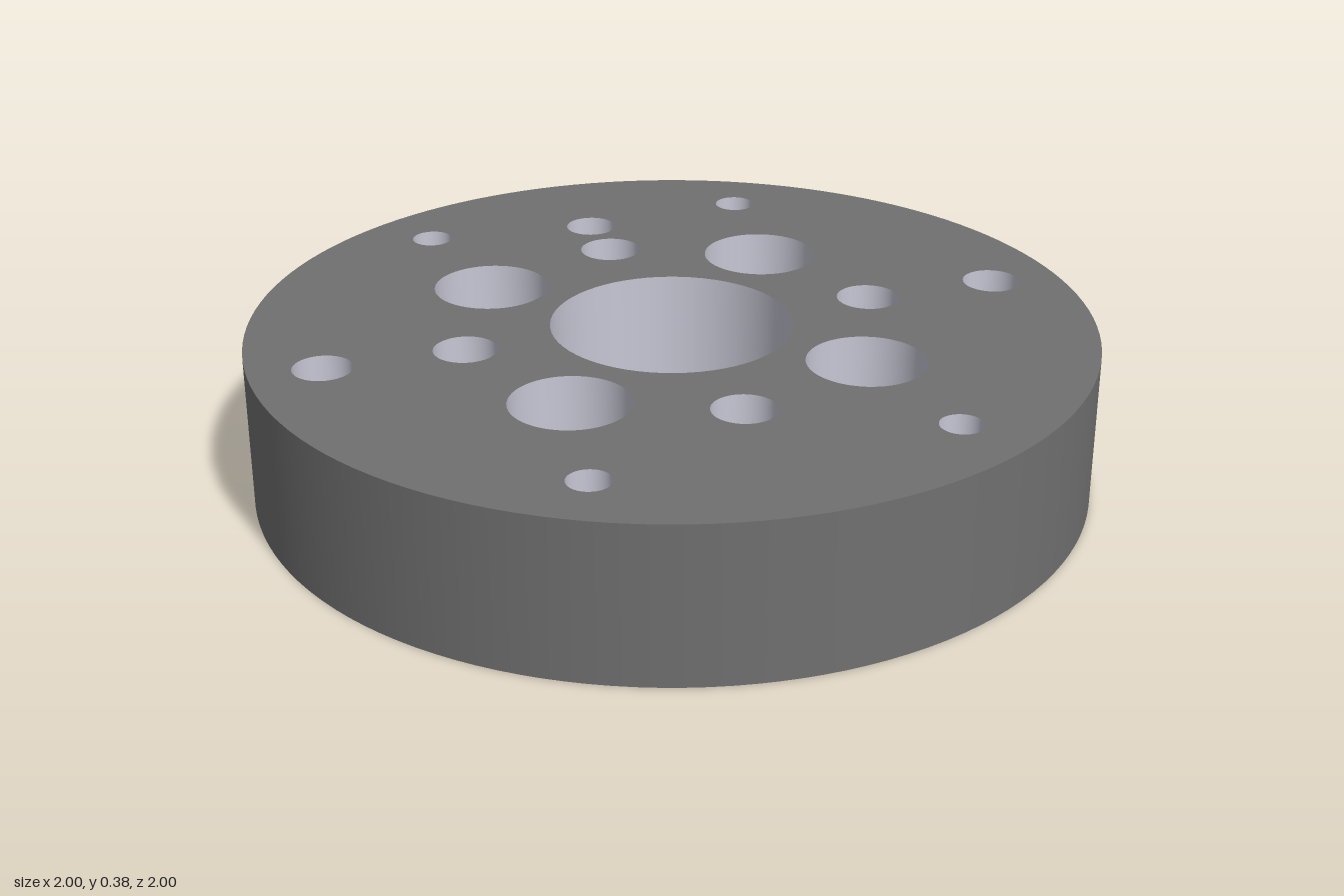
import * as THREE from 'three';

const H = 0.375;
const RIM_SEGMENTS = 128, HOLE_SEGMENTS = 64;

// Hole groups: centres as [x, z]; "depth" is the bored depth of radius r,
// "through" the radius of a narrower bore continuing to the underside.
const mirror = (x, z) => [[x, z], [-x, z], [x, -z], [-x, -z]];
const HOLES = [
  { name: 'centreBore', r: 0.288, depth: H, at: [[0, 0]] },
  { name: 'innerHole', r: 0.075, depth: H, at: [[0.5, 0], [-0.5, 0], [0, 0.5], [0, -0.5]] },
  { name: 'outerHole', r: 0.07, depth: H, at: [[0.83, 0], [-0.83, 0]] },
  { name: 'counterboredHole', r: 0.139, depth: 0.2, through: 0.07, at: mirror(0.35, 0.35) },
  { name: 'blindHole', r: 0.05, depth: 0.2, at: mirror(0.415, 0.718) },
  { name: 'locatingPinHole', r: 0.063, depth: 0.2, at: [[0, -0.675]] },
];

function circlePoints(x, y, r, n) {
  return Array.from({ length: n }, (_, i) => {
    const a = (i / n) * Math.PI * 2;
    return new THREE.Vector2(x + r * Math.cos(a), y + r * Math.sin(a));
  });
}

// Flat disc with the holes that open on that side (side = 1 top, -1 underside)
function faceGeometry(side) {
  const shape = new THREE.Shape(circlePoints(0, 0, 1, RIM_SEGMENTS));
  for (const { r, depth, through, at } of HOLES) {
    const radius = side > 0 || depth === H ? r : through;
    if (!radius) continue;
    for (const [x, z] of at) {
      shape.holes.push(new THREE.Path(circlePoints(x, -side * z, radius, HOLE_SEGMENTS)));
    }
  }
  return new THREE.ShapeGeometry(shape).rotateX(-side * Math.PI / 2);
}

export function createModel() {
  const model = new THREE.Group();
  model.name = 'flangeDisc';
  const bodyMaterial = new THREE.MeshStandardMaterial({ color: 0x707070 });
  const boreMaterial = new THREE.MeshStandardMaterial({ color: 0xc6c7d4 });

  const add = (parent, name, geometry, material) => {
    const mesh = new THREE.Mesh(geometry, material);
    mesh.name = name;
    parent.add(mesh);
    return mesh;
  };

  // Outer body
  add(model, 'rim', new THREE.CylinderGeometry(1, 1, H, RIM_SEGMENTS, 1, true), bodyMaterial).position.y = H / 2;
  add(model, 'topFace', faceGeometry(1), bodyMaterial).position.y = H;
  add(model, 'underside', faceGeometry(-1), bodyMaterial);

  // Hole linings: each straight profile step is its own lathe, keeping edges sharp
  for (const { name, r, depth, through, at } of HOLES) {
    const profile = [[r, H], [r, H - depth]];
    if (through) profile.push([through, H - depth], [through, 0]);
    else if (depth < H) profile.push([0, H - depth]);
    const steps = profile.slice(1).map((p, i) => new THREE.LatheGeometry(
      [new THREE.Vector2(...profile[i]), new THREE.Vector2(...p)], HOLE_SEGMENTS));
    const stepNames = ['wall', 'floor', 'lowerWall'];
    for (const [x, z] of at) {
      const hole = new THREE.Group();
      hole.name = name;
      hole.position.set(x, 0, z);
      steps.forEach((geometry, i) => add(hole, stepNames[i], geometry, boreMaterial));
      model.add(hole);
    }
  }
  return model;
}
